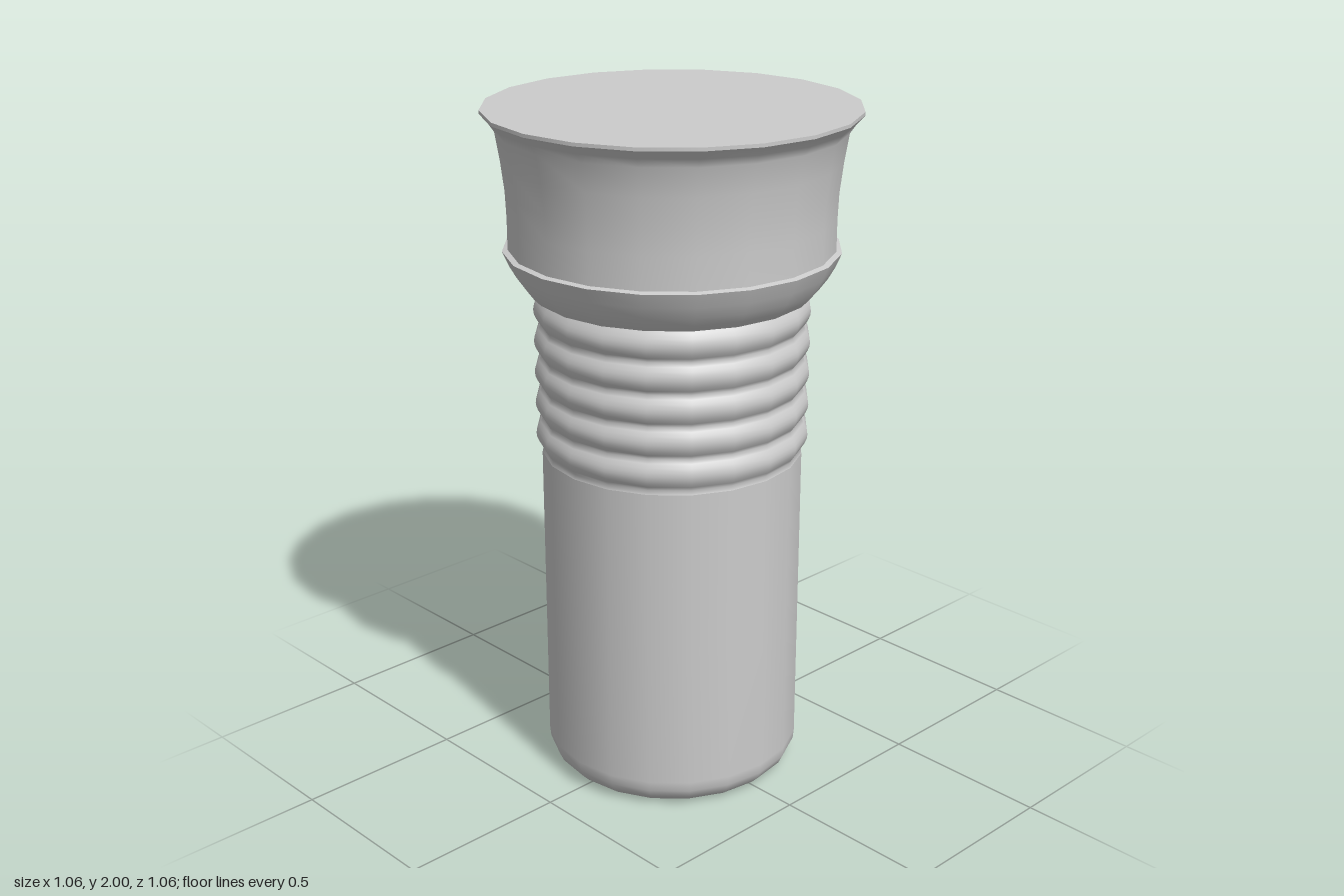
import * as THREE from 'three';

const SIDES = 20;

export function createModel() {
  const model = new THREE.Group();
  const material = new THREE.MeshStandardMaterial({ color: 0xcccccc });

  // Revolves a profile of [radius, height] pairs, listed from bottom to top
  const turn = (name, profile) => {
    const points = profile.map(([r, y]) => new THREE.Vector2(r, y));
    const mesh = new THREE.Mesh(new THREE.LatheGeometry(points, SIDES), material);
    mesh.name = name;
    model.add(mesh);
  };

  // Closed end and plain barrel with a rounded lower edge
  turn('endCap', [[0, 0], [0.32, 0]]);
  turn('barrel', [
    [0.32, 0], [0.345, 0.01], [0.365, 0.03], [0.377, 0.055], [0.38, 0.085],
    [0.38, 0.5], [0.38, 1.0],
  ]);

  // Five rounded grip rings
  const ribs = [[0.38, 1.0]];
  const ringCount = 5, stepsPerRing = 8, pitch = 0.093, start = 1.013;
  for (let i = 0; i <= ringCount * stepsPerRing; i++) {
    const t = i / stepsPerRing;
    const bulge = Math.abs(Math.sin(Math.PI * t));
    ribs.push([0.376 + 0.02 * bulge, start + pitch * t]);
  }
  turn('gripRings', ribs);

  // Head: underside, flared collar, ledge, bell and flat face
  turn('headUnderside', [[0.37, 1.48], [0.4, 1.48]]);
  turn('headCollar', [[0.4, 1.48], [0.42, 1.5], [0.44, 1.527], [0.46, 1.562], [0.478, 1.604]]);
  turn('headLedge', [[0.478, 1.604], [0.462, 1.608]]);
  turn('headBell', [
    [0.462, 1.608], [0.462, 1.7], [0.465, 1.775], [0.475, 1.86],
    [0.488, 1.94], [0.505, 1.965], [0.528, 1.99],
  ]);
  turn('headRim', [[0.528, 1.99], [0.528, 2]]);
  turn('headFace', [[0.528, 2], [0, 2]]);

  return model;
}
